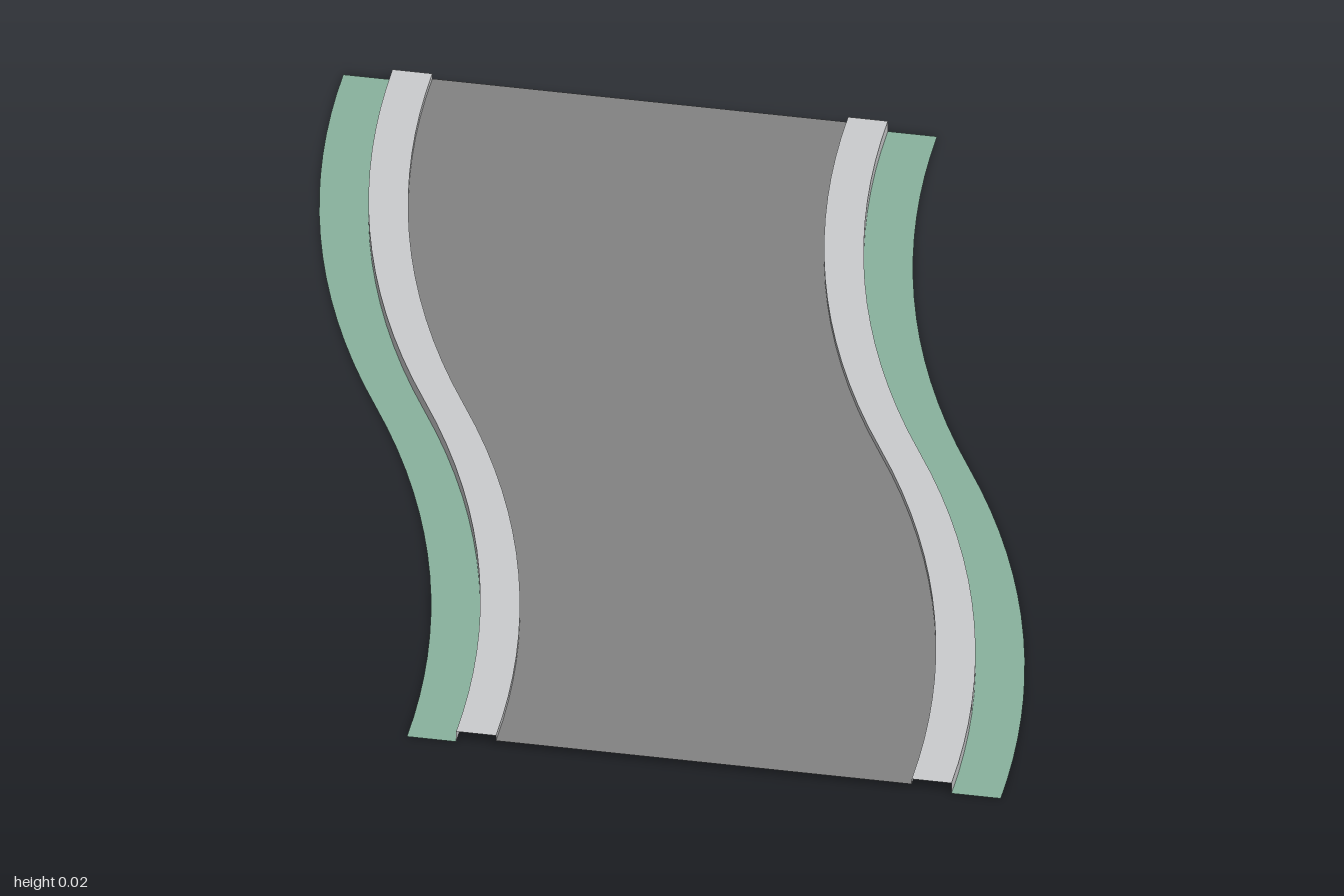
import * as THREE from 'three';

const STEPS = 32;          // divisions along the road
const SHIFT = 0.25;        // sideways shift of each half of the bend
const RADIUS = (1 + SHIFT * SHIFT) / (2 * SHIFT);

// S-bend made of two circular arcs meeting at z = 0
function bend(z) {
  const d = 1 - Math.abs(z);
  return Math.sign(z) * (SHIFT - (RADIUS - Math.sqrt(RADIUS * RADIUS - d * d)));
}

// Sweeps an open [x, y] profile along the bend, with hard edges between its segments
function sweep(profile) {
  const positions = [];
  const index = [];
  for (let s = 0; s < profile.length - 1; s++) {
    const base = positions.length / 3;
    for (let i = 0; i <= STEPS; i++) {
      const z = -1 + (2 * i) / STEPS;
      for (const [x, y] of [profile[s], profile[s + 1]]) positions.push(x + bend(z), y, z);
      if (i < STEPS) {
        const a = base + i * 2;
        index.push(a, a + 2, a + 1, a + 1, a + 2, a + 3);
      }
    }
  }
  const geometry = new THREE.BufferGeometry();
  geometry.setAttribute('position', new THREE.Float32BufferAttribute(positions, 3));
  geometry.setIndex(index);
  geometry.computeVertexNormals();
  return geometry;
}

function material(name, color) {
  const m = new THREE.MeshStandardMaterial({ color, side: THREE.DoubleSide });
  m.name = name;
  return m;
}

export function createModel() {
  const group = new THREE.Group();
  group.name = 'curvedRoad';
  const asphalt = material('asphalt', 0x828282);
  const concrete = material('concrete', 0xcbccce);
  const grass = material('grass', 0x89b29e);

  const add = (name, profile, mat) => {
    const mesh = new THREE.Mesh(sweep(profile), mat);
    mesh.name = name;
    group.add(mesh);
  };
  // Mirrors a profile across the centreline, keeping its left-to-right order
  const mirror = (profile) => profile.map(([x, y]) => [-x, y]).reverse();

  // Road surface
  add('roadSurface', [[-0.35, 0.01], [0.35, 0.01]], asphalt);

  // Raised kerbs: outer wall, top and inner wall
  const kerb = [[-0.417, 0], [-0.417, 0.02], [-0.35, 0.02], [-0.35, 0.01]];
  add('rightKerb', kerb, concrete);
  add('leftKerb', mirror(kerb), concrete);

  // Grass verges
  const verge = [[-0.5, 0], [-0.417, 0]];
  add('rightVerge', verge, grass);
  add('leftVerge', mirror(verge), grass);

  return group;
}
